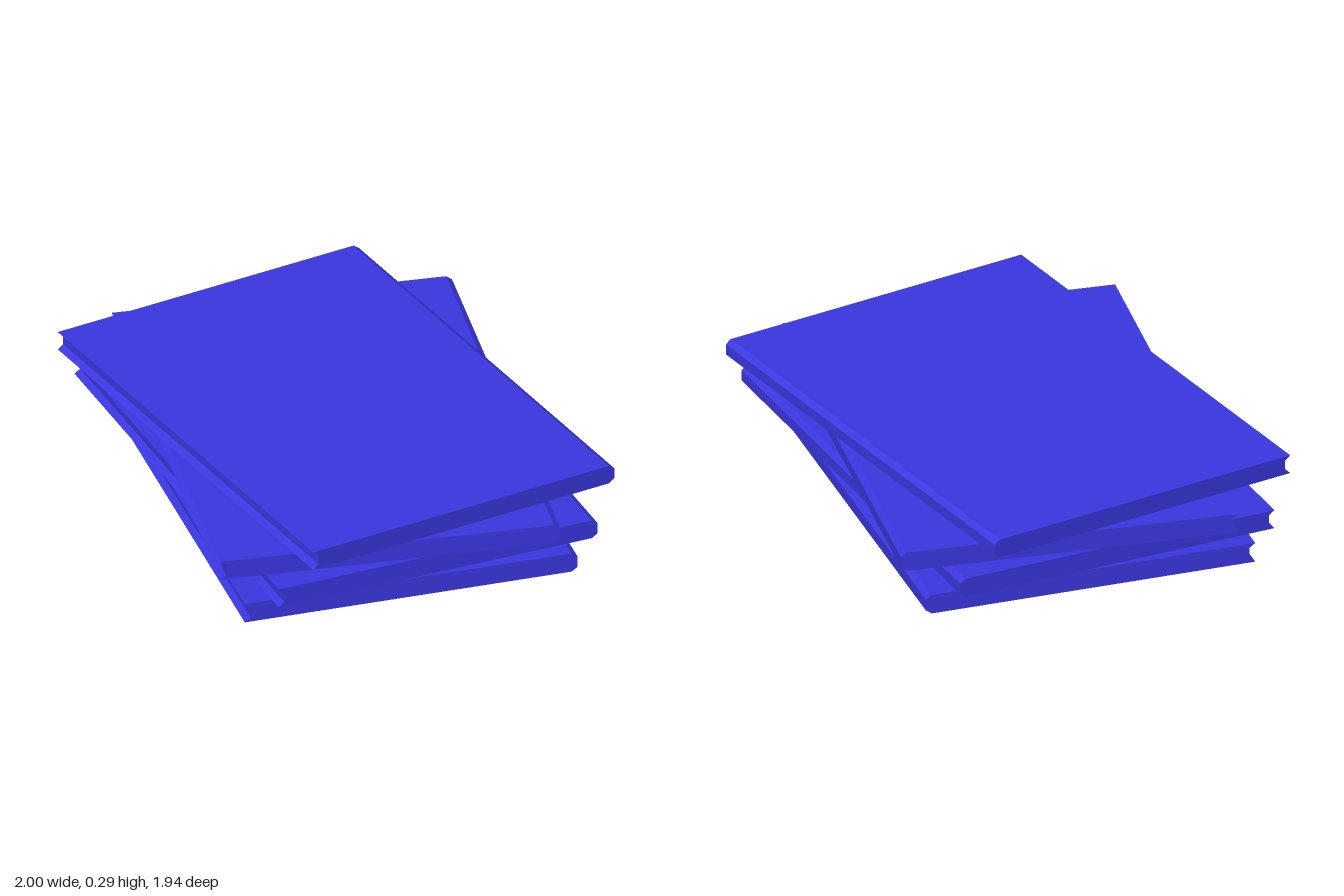
import * as THREE from 'three';

const LENGTH = 1.648, HALF_WIDTH = 0.565, BULGE = 0.02, BEVEL = 0.014;

// Book block: rounded spine along the back, matching hollow along the front
function bookGeometry(h) {
  const w = HALF_WIDTH;
  const shape = new THREE.Shape([
    [-w, 0], [w - BULGE, 0], [w, BEVEL], [w, h - BEVEL], [w - BULGE, h],
    [-w, h], [-w + BULGE, h - BEVEL], [-w + BULGE, BEVEL],
  ].map(([x, y]) => new THREE.Vector2(x, y)));
  const geometry = new THREE.ExtrudeGeometry(shape, { depth: LENGTH, bevelEnabled: false });
  geometry.translate(0, 0, -LENGTH / 2);
  geometry.rotateY(Math.PI / 2); // spine to -z, length along x
  return geometry;
}

export function createModel() {
  const group = new THREE.Group();
  group.name = 'bookStack';
  const material = new THREE.MeshStandardMaterial({ color: 0x3a36e0, flatShading: true });

  // Each book: name, base height, thickness, turn in degrees
  const books = [
    ['bottomBook', 0, 0.068, 37.4],
    ['secondBook', 0.073, 0.066, 30.9],
    ['thirdBook', 0.143, 0.067, 42.3],
    ['topBook', 0.222, 0.065, 24.4],
  ];
  for (const [name, y, h, turn] of books) {
    const book = new THREE.Mesh(bookGeometry(h), material);
    book.name = name;
    book.position.y = y;
    book.rotation.y = -THREE.MathUtils.degToRad(turn);
    group.add(book);
  }
  return group;
}
